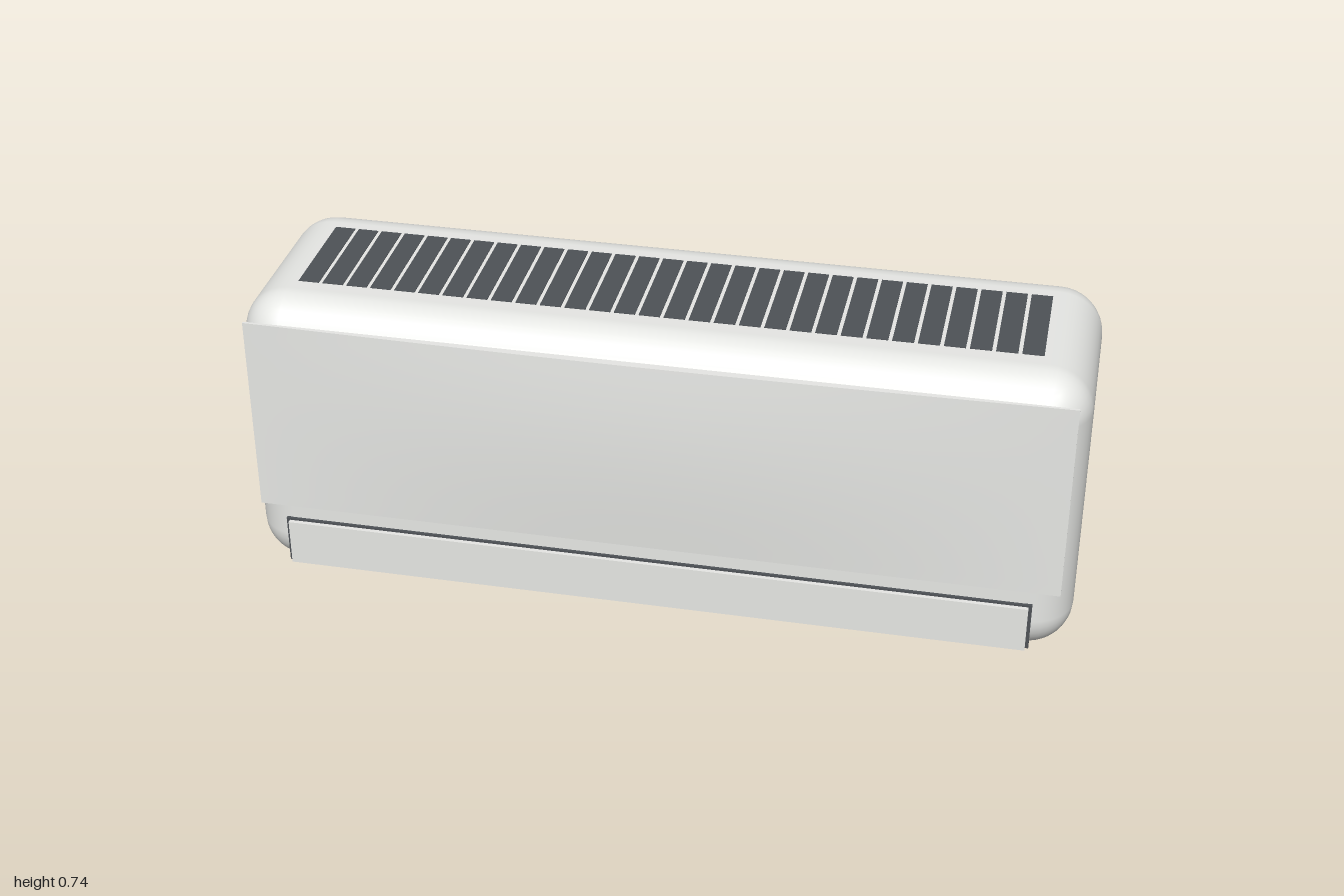
import * as THREE from 'three';
import { RoundedBoxGeometry } from 'three/addons/geometries/RoundedBoxGeometry.js';

const shell = new THREE.MeshStandardMaterial({ color: 0xebece9 });
shell.name = 'off-white plastic';
const dark = new THREE.MeshStandardMaterial({ color: 0x4e5257 });
dark.name = 'dark grey';

function add(parent, name, geometry, material, x, y, z) {
  const mesh = new THREE.Mesh(geometry, material);
  mesh.name = name;
  mesh.position.set(x, y, z);
  parent.add(mesh);
  return mesh;
}

// Front cover: a thin slab whose front face swells towards the upper middle
function coverGeometry(width, height, depth, bulge) {
  const g = new THREE.BoxGeometry(width, height, depth, 32, 16, 1);
  const p = g.attributes.position;
  for (let i = 0; i < p.count; i++) {
    if (p.getZ(i) < 0) continue;
    const across = Math.cos((Math.PI * p.getX(i)) / width);
    const up = Math.sin(0.75 * Math.PI * (p.getY(i) / height + 0.5));
    p.setZ(i, p.getZ(i) + bulge * across * up);
  }
  g.computeVertexNormals();
  return g;
}

export function createModel() {
  const model = new THREE.Group();
  model.name = 'wallAirConditioner';

  // Rounded housing
  add(model, 'housing', new RoundedBoxGeometry(2, 0.743, 0.557, 5, 0.108), shell, 0, 0.3715, -0.0115);

  // Bowed front cover
  add(model, 'frontCover', coverGeometry(1.94, 0.505, 0.006, 0.019), shell, 0, 0.4475, 0.269);

  // Air outlet with its flap
  add(model, 'airOutlet', new THREE.BoxGeometry(1.816, 0.123, 0.008), dark, 0, 0.0985, 0.27);
  add(model, 'outletFlap', new THREE.BoxGeometry(1.8, 0.118, 0.011), shell, 0, 0.096, 0.279);

  // Intake grille: a row of slats on top
  const grille = new THREE.Group();
  grille.name = 'intakeGrille';
  const count = 30;
  const pitch = 1.765 / count;
  const slat = new THREE.BoxGeometry(pitch - 0.009, 0.004, 0.28);
  for (let i = 0; i < count; i++) {
    add(grille, 'intakeSlat', slat, dark, (i - (count - 1) / 2) * pitch, 0.7425, -0.015);
  }
  model.add(grille);

  return model;
}
